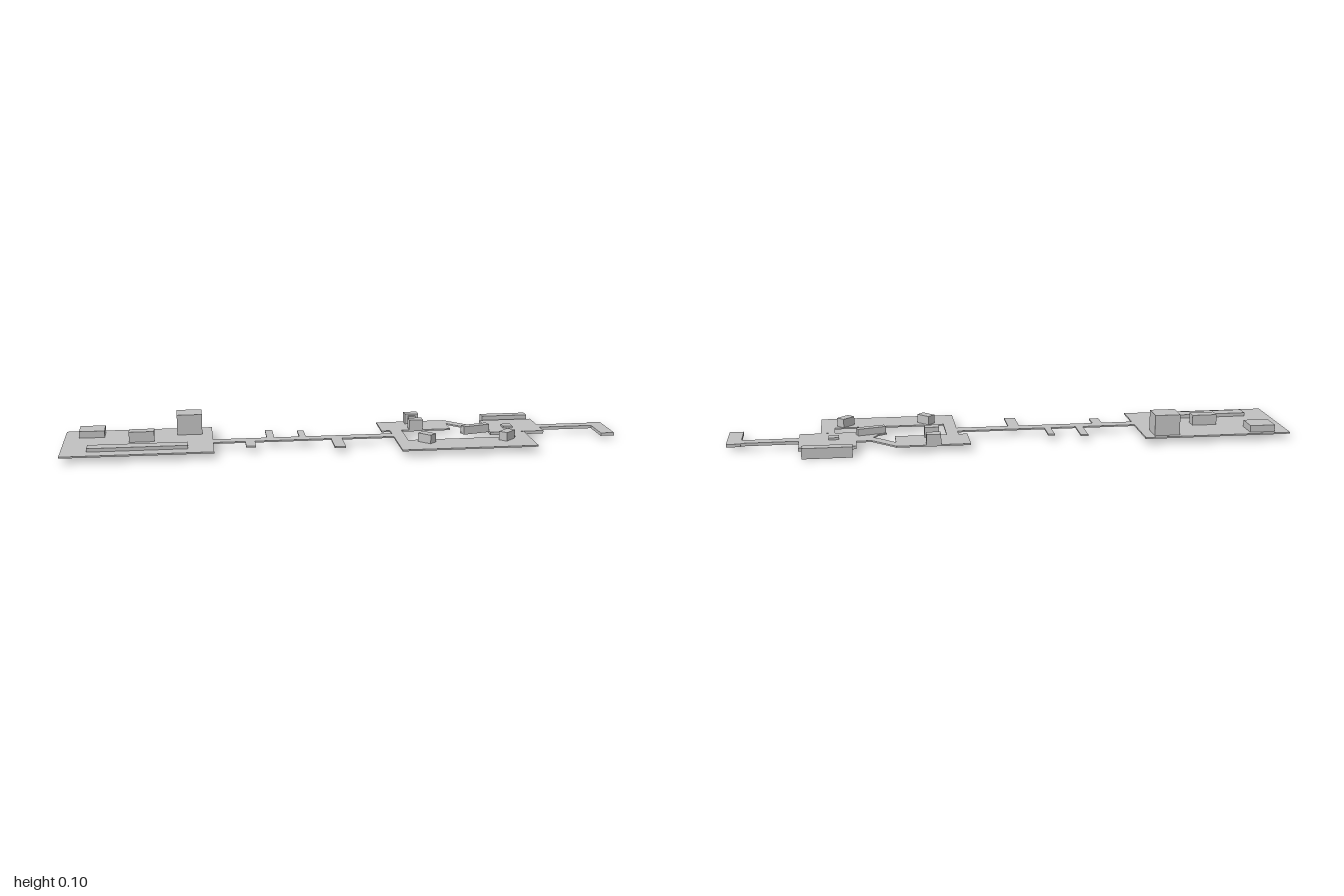
import * as THREE from 'three';

const grey = new THREE.MeshStandardMaterial({ color: 0xc0c0c0 });
grey.name = 'grey';
const FLOOR = 0.0255; // top of every floor
const THIN = 0.02, THICK = 0.0145; // undersides

export function createModel() {
  const model = new THREE.Group();
  const add = (name, geometry) => {
    const mesh = new THREE.Mesh(geometry, grey);
    mesh.name = name;
    model.add(mesh);
    return mesh;
  };

  // Box given by its limits
  const box = (name, x0, x1, z0, z1, y0, y1) => {
    const mesh = add(name, new THREE.BoxGeometry(x1 - x0, y1 - y0, z1 - z0));
    mesh.position.set((x0 + x1) / 2, (y0 + y1) / 2, (z0 + z1) / 2);
    return mesh;
  };

  // Box standing on the floor, turned about the vertical
  const turned = (name, x, z, length, depth, top, angle) => {
    const mesh = box(name, -length / 2, length / 2, -depth / 2, depth / 2, FLOOR, top);
    mesh.position.x = x;
    mesh.position.z = z;
    mesh.rotation.y = angle;
  };

  // Floor slab from an outline of [x, z] points
  const floor = (name, outline) => {
    const shape = new THREE.Shape(outline.map(([x, z]) => new THREE.Vector2(x, -z)));
    const geometry = new THREE.ExtrudeGeometry(shape, { depth: FLOOR - THIN, bevelEnabled: false });
    geometry.rotateX(-Math.PI / 2).translate(0, THIN, 0);
    add(name, geometry);
  };

  // Large hall with its four blocks
  box('hallFloor', -1, -0.468, -0.191, 0.151, THIN, FLOOR);
  box('lowBlock', -0.948, -0.857, -0.173, -0.092, FLOOR, 0.05);
  box('tallBlock', -0.596, -0.505, -0.173, -0.092, FLOOR, 0.1);
  box('middleBlock', -0.767, -0.677, -0.053, -0.011, FLOOR, 0.063);
  box('longBench', -0.909, -0.559, 0.052, 0.1, FLOOR, 0.038);

  // Corridor with side branches
  box('corridor', -0.468, 0.186, -0.015, 0.028, THIN, FLOOR);
  [
    [-0.274, -0.247, -0.122, -0.015],
    [-0.156, -0.132, -0.1, -0.015],
    [-0.354, -0.319, 0.028, 0.092],
    [-0.044, -0.004, 0.028, 0.14],
  ].forEach(([x0, x1, z0, z1]) => box('corridorBranch', x0, x1, z0, z1, THIN, FLOOR));

  // Ring of floors around the open court
  floor('backRoomFloor', [
    [0.154, -0.183], [0.413, -0.183], [0.496, -0.1], [0.55, -0.1], [0.55, -0.01],
    [0.45, 0.017], [0.44, -0.008], [0.47, -0.025], [0.49, -0.06], [0.47, -0.074],
    [0.413, -0.133], [0.413, -0.055], [0.154, -0.055],
  ]);
  floor('frontRoomFloor', [
    [0.186, -0.055], [0.229, -0.055], [0.229, 0.084], [0.625, 0.084],
    [0.625, 0.017], [0.675, 0.017], [0.675, 0.212], [0.186, 0.212],
  ]);

  // Furniture around the court
  box('backDesk', 0.258, 0.309, -0.183, -0.148, FLOOR, 0.063);
  box('deskPanel', 0.27, 0.296, -0.148, -0.137, 0.032, 0.057);
  box('frontDesk', 0.258, 0.309, -0.089, -0.055, FLOOR, 0.063);
  turned('leftCornerBlock', 0.291, 0.114, 0.055, 0.033, 0.057, -Math.PI / 4);
  turned('rightCornerBlock', 0.585, 0.114, 0.055, 0.033, 0.057, Math.PI / 4);
  turned('angledCounter', 0.496, -0.009, 0.104, 0.026, 0.05, 0.264);

  // Thicker end room, passage and cross bar
  box('endRoomFloor', 0.55, 0.75, -0.163, 0.016, THICK, FLOOR);
  box('smallPlinth', 0.61, 0.646, -0.073, -0.037, FLOOR, 0.033);
  box('endPassage', 0.75, 0.95, -0.075, -0.035, THICK, FLOOR);
  box('endCrossBar', 0.95, 1, -0.083, 0.077, THICK, FLOOR);
  box('detachedBlock', 0.564, 0.738, -0.213, -0.177, 0, 0.038);

  return model;
}
